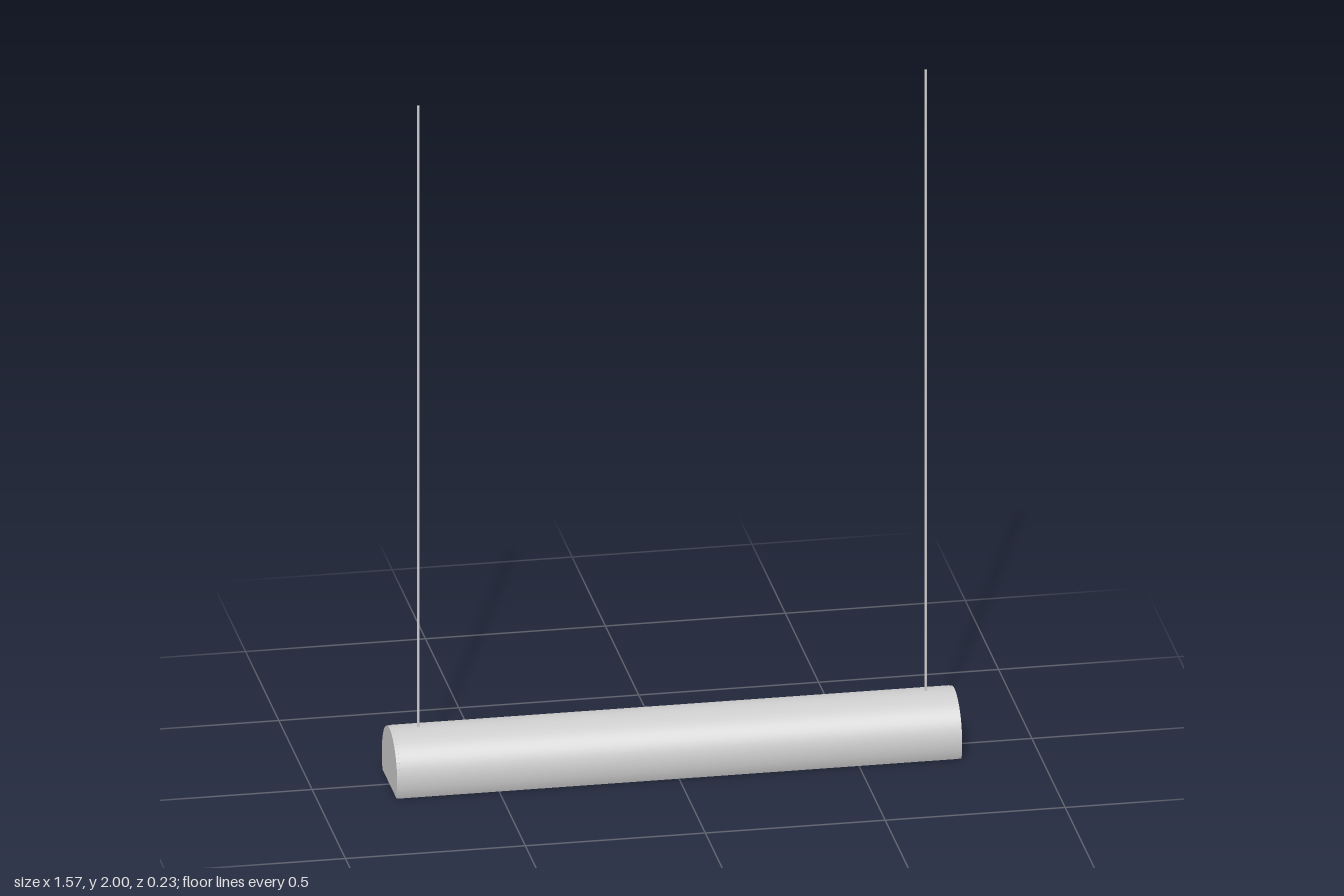
import * as THREE from 'three';

const L = 1.57;        // housing length
const R = 0.117;       // housing radius
const CY = 0.048;      // height of the housing axis

export function createModel() {
  const group = new THREE.Group();
  const mat = new THREE.MeshStandardMaterial({ color: 0xcccccc });

  const add = (name, geo, x = 0, y = 0, z = 0) => {
    const mesh = new THREE.Mesh(geo, mat);
    mesh.name = name;
    mesh.position.set(x, y, z);
    group.add(mesh);
    return mesh;
  };

  // Round section cut flat at the bottom, extruded along x
  const dip = Math.asin(CY / R);
  const alongX = (shape, depth) => {
    const geo = new THREE.ExtrudeGeometry(shape, { depth, bevelEnabled: false, curveSegments: 40 });
    return geo.translate(0, 0, -depth / 2).rotateY(Math.PI / 2);
  };

  // Open-bottomed shell
  const inner = R - 0.005;
  const innerDip = Math.asin(CY / inner);
  const shell = new THREE.Shape();
  shell.absarc(0, CY, R, -dip, Math.PI + dip, false);
  shell.absarc(0, CY, inner, Math.PI + innerDip, -innerDip, true);
  add('housing', alongX(shell, L - 0.016), 0, 0, 0);

  // Solid end caps
  const cap = new THREE.Shape();
  cap.absarc(0, CY, R - 0.001, -dip, Math.PI + dip, false);
  for (const s of [-1, 1]) add('endCap', alongX(cap, 0.008), s * (L / 2 - 0.004));

  // Louver rails along both sides of the opening
  for (const s of [-1, 1]) {
    add('louverRail', new THREE.BoxGeometry(L - 0.016, 0.04, 0.006), 0, 0.021, s * 0.1);
  }

  // Cross blades of the louver
  const blades = 15;
  const blade = new THREE.BoxGeometry(0.008, 0.038, 0.198);
  for (let i = 0; i < blades; i++) {
    add('louverBlade', blade, (i - (blades - 1) / 2) * 0.098, 0.022, 0);
  }

  // Suspension rods
  const top = CY + R - 0.004;
  const rod = new THREE.CylinderGeometry(0.004, 0.004, 2 - top, 12);
  for (const s of [-1, 1]) add('suspensionRod', rod, s * 0.705, (2 + top) / 2, 0);

  return group;
}
